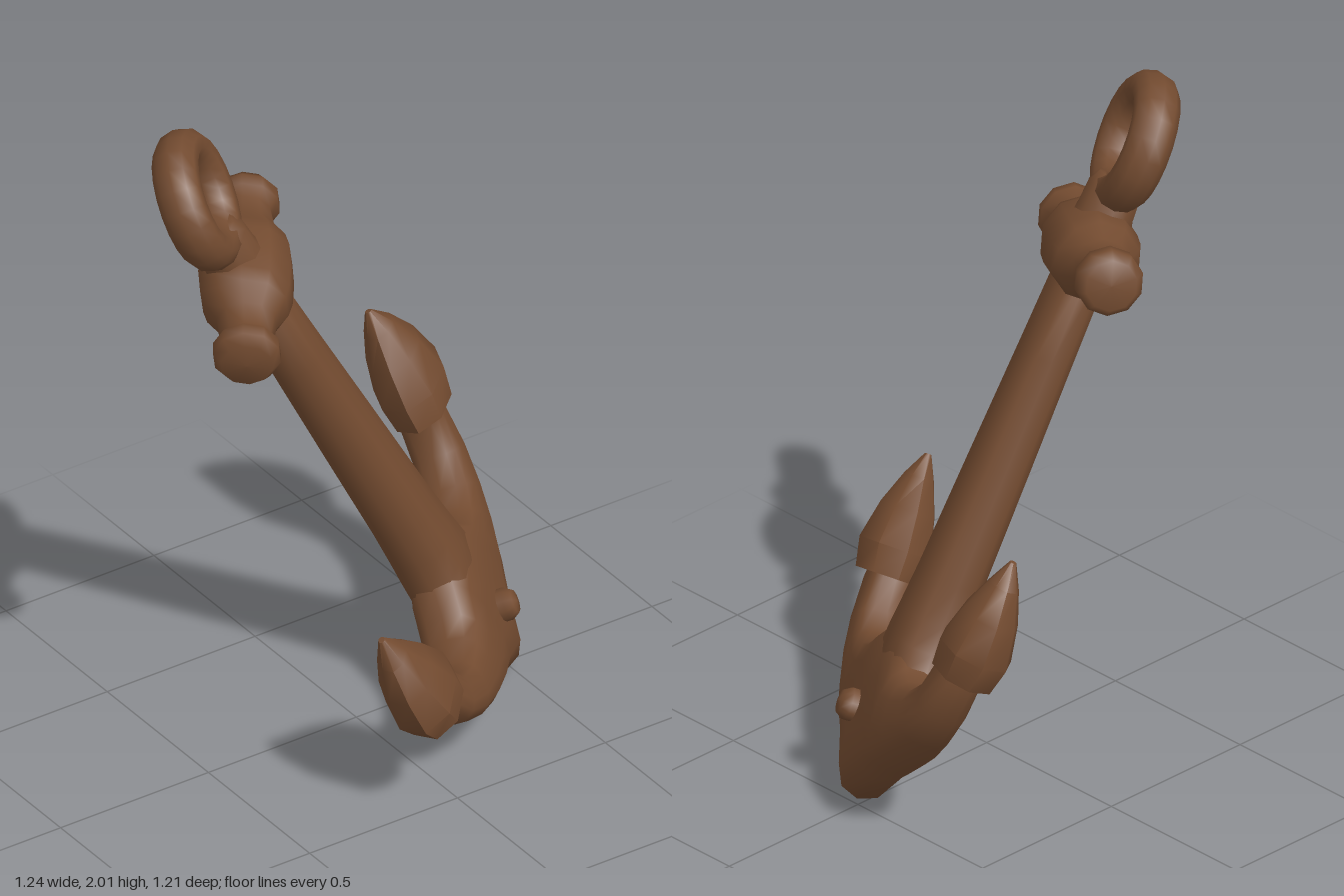
import * as THREE from 'three';
import { toCreasedNormals } from 'three/addons/utils/BufferGeometryUtils.js';

// Loft through rounded sections. Each row: [x0, y0, x1, y1, halfDepth],
// a section spanning from point 0 to point 1 in the plane, with depth along z.
function loft(rows, sides, power) {
  const pos = [], idx = [];
  const soft = (c) => Math.sign(c) * Math.pow(Math.abs(c), 2 / power);
  for (const [x0, y0, x1, y1, b] of rows) {
    for (let j = 0; j < sides; j++) {
      const t = (j / sides) * Math.PI * 2;
      const c = soft(Math.cos(t)) / 2, s = soft(Math.sin(t));
      pos.push((x0 + x1) / 2 + (x0 - x1) * c, (y0 + y1) / 2 + (y0 - y1) * c, b * s);
    }
  }
  for (let i = 0; i < rows.length - 1; i++) {
    for (let j = 0; j < sides; j++) {
      const k = (j + 1) % sides;
      const a = i * sides + j, a2 = i * sides + k;
      idx.push(a, a + sides, a2, a2, a + sides, a2 + sides);
    }
  }
  // end caps
  const last = (rows.length - 1) * sides;
  for (let j = 1; j < sides - 1; j++) {
    idx.push(0, j, j + 1, last, last + j + 1, last + j);
  }
  const g = new THREE.BufferGeometry();
  g.setAttribute('position', new THREE.Float32BufferAttribute(pos, 3));
  g.setIndex(idx);
  g.computeVertexNormals();
  return g;
}

const lathe = (pts, sides) =>
  new THREE.LatheGeometry(pts.map(([r, y]) => new THREE.Vector2(r, y)), sides);

export function createModel() {
  const brown = new THREE.MeshStandardMaterial({ color: 0x734b30 });
  brown.name = 'rusty brown';

  const anchor = new THREE.Group();
  anchor.name = 'anchor';
  const add = (name, geometry, parent = anchor) => {
    const m = new THREE.Mesh(geometry, brown);
    m.name = name;
    parent.add(m);
    return m;
  };

  // shank: tapering upright, flared where it meets the crown, tilted a little
  const shankRows = [
    [0.2, 0.2, 0.085], [0.35, 0.19, 0.09], [0.4, 0.163, 0.097], [0.46, 0.138, 0.1],
    [0.54, 0.122, 0.098], [0.66, 0.114, 0.093], [1.0, 0.105, 0.086], [1.35, 0.095, 0.078],
    [1.66, 0.088, 0.072],
  ];
  const shank = add('shank', loft(shankRows.map(([y, a, b]) => [a, y, -a, y, b]), 12, 2.5));
  shank.rotation.set(-0.016, 0, 0.013);
  shank.position.set(0.0215, 0, 0.0266);

  // arms and crown in one sweep from left tip to right tip
  const lower = new THREE.Group();
  lower.name = 'armsAndFlukes';
  lower.rotation.z = 0.06;
  lower.position.set(0.018, -0.027, 0.025);
  anchor.add(lower);
  const half = [
    [0.12, 0.09, 0.1, 0.5, 0.105], [0.22, 0.14, 0.17, 0.435, 0.102],
    [0.325, 0.2, 0.235, 0.41, 0.096], [0.43, 0.275, 0.325, 0.41, 0.086],
    [0.52, 0.37, 0.41, 0.455, 0.076], [0.582, 0.49, 0.45, 0.55, 0.068],
    [0.59, 0.6, 0.46, 0.62, 0.06],
  ];
  const mirrored = half.map(([x0, y0, x1, y1, b]) => [-x0, y0, -x1, y1, b]).reverse();
  add('armsAndCrown', loft([...mirrored, [0, 0, 0, 0.52, 0.105], ...half], 14, 2.6), lower);

  // flukes: pointed, bowed outwards
  const fluke = toCreasedNormals(loft([
    [0.6, 0.535, 0.5, 0.56, 0.04], [0.685, 0.505, 0.425, 0.55, 0.095],
    [0.73, 0.585, 0.44, 0.63, 0.108], [0.718, 0.7, 0.495, 0.735, 0.082],
    [0.675, 0.805, 0.56, 0.82, 0.045], [0.626, 0.88, 0.608, 0.885, 0.01],
  ], 8, 2), 0.8);
  add('rightFluke', fluke, lower);
  add('leftFluke', fluke, lower).rotation.y = Math.PI;

  // stock: crossbar with a thick middle and knobbed ends
  const side = [
    [0.132, 0.08], [0.12, 0.125], [0.086, 0.18], [0.074, 0.25],
    [0.097, 0.277], [0.097, 0.315], [0.074, 0.346], [0, 0.35],
  ];
  const bar = [...side.map(([r, y]) => [r, -y]).reverse(), [0.137, 0], ...side];
  const stock = add('stock', lathe(bar, 10));
  stock.rotation.z = -Math.PI / 2;
  stock.position.set(0.005, 1.677, 0);

  // neck and ring
  add('neck', lathe([[0.1, 1.72], [0.084, 1.79], [0.08, 1.86], [0.06, 1.9], [0, 1.905]], 12));
  const ring = add('ring', new THREE.TorusGeometry(0.152, 0.056, 10, 20).scale(1, 1, 1.2));
  ring.position.set(0.008, 2.012, 0);

  // rounded pin through the crown
  const pin = add('crownPin', lathe([
    [0, -0.15], [0.034, -0.143], [0.048, -0.12], [0.048, 0.12], [0.034, 0.143], [0, 0.15],
  ], 10));
  pin.rotation.x = Math.PI / 2;
  pin.position.set(-0.01, 0.217, 0.027);

  // lean the whole anchor
  const up = new THREE.Vector3(-0.444, 0.893, -0.074).normalize();
  const across = new THREE.Vector3(0.549, 0.204, -0.811);
  across.addScaledVector(up, -across.dot(up)).normalize();
  const out = new THREE.Vector3().crossVectors(across, up);
  anchor.quaternion.setFromRotationMatrix(new THREE.Matrix4().makeBasis(across, up, out));
  anchor.position.set(0.445, 0.012, 0.018);

  const model = new THREE.Group();
  model.name = 'model';
  model.add(anchor);
  return model;
}
